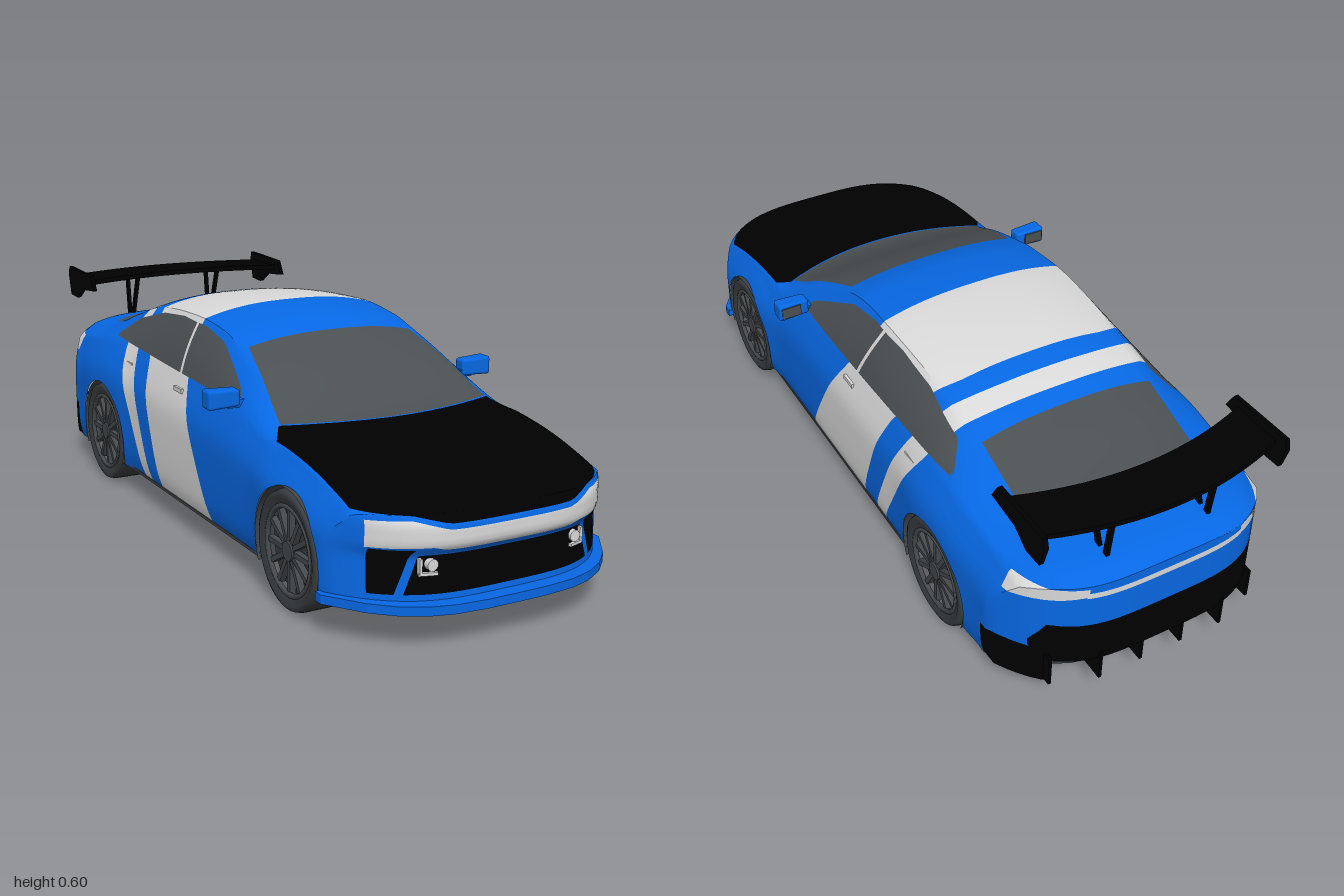
import * as THREE from 'three';
import { toCreasedNormals } from 'three/addons/utils/BufferGeometryUtils.js';
import { RoundedBoxGeometry } from 'three/addons/geometries/RoundedBoxGeometry.js';

const mat = (name, color, side = THREE.FrontSide) => {
  const m = new THREE.MeshStandardMaterial({ color, side });
  m.name = name;
  return m;
};
const WHEEL_Z = [0.615, -0.56], WHEEL_Y = 0.146;

// Smooth curve through [position, value] keys
const curve = (...k) => (s) => {
  let i = 0;
  while (i < k.length - 2 && s > k[i + 1][0]) i++;
  const slope = (n) => {
    const a = k[Math.max(n - 1, 0)], b = k[Math.min(n + 1, k.length - 1)];
    return (b[1] - a[1]) / (b[0] - a[0]);
  };
  const h = k[i + 1][0] - k[i][0], t = THREE.MathUtils.clamp((s - k[i][0]) / h, 0, 1);
  const t2 = t * t, t3 = t2 * t;
  return (2 * t3 - 3 * t2 + 1) * k[i][1] + (3 * t2 - 2 * t3) * k[i + 1][1]
    + h * ((t3 - 2 * t2 + t) * slope(i) + (t3 - t2) * slope(i + 1));
};
// Straight segments through [position, value] keys
const line = (...k) => (s) => {
  let i = 0;
  while (i < k.length - 2 && s > k[i + 1][0]) i++;
  const t = THREE.MathUtils.clamp((s - k[i][0]) / (k[i + 1][0] - k[i][0]), 0, 1);
  return k[i][1] + t * (k[i + 1][1] - k[i][1]);
};

// Body lines from tail to nose: centre height, roof edge, shoulder
const topY = curve([-1, 0.4], [-0.95, 0.425], [-0.77, 0.457], [-0.6, 0.515], [-0.4, 0.572], [-0.13, 0.598], [0.05, 0.583],
  [0.13, 0.56], [0.25, 0.51], [0.46, 0.408], [0.6, 0.395], [0.75, 0.375], [0.9, 0.34], [0.98, 0.31]);
const edgeY = curve([-1, 0.39], [-0.95, 0.41], [-0.77, 0.437], [-0.6, 0.487], [-0.4, 0.542], [-0.13, 0.566], [0.05, 0.552],
  [0.13, 0.53], [0.25, 0.488], [0.46, 0.395], [0.6, 0.385], [0.75, 0.364], [0.9, 0.33], [0.98, 0.306]);
const edgeX = curve([-1, 0.27], [-0.77, 0.25], [-0.4, 0.255], [-0.13, 0.262], [0.05, 0.26], [0.25, 0.272], [0.46, 0.302], [0.98, 0.31]);
const beltY = curve([-1, 0.37], [-0.8, 0.405], [-0.6, 0.425], [-0.3, 0.415], [0.2, 0.4], [0.45, 0.37], [0.75, 0.342], [0.98, 0.297]);
const beltX = curve([-1, 0.335], [-0.6, 0.345], [0.2, 0.346], [0.98, 0.346]);
const noseZ = line([0.08, -0.015], [0.21, -0.028], [0.235, 0], [0.285, 0], [0.31, -0.02]);

// Nose and tail bow backwards towards the corners; the nose also has an upright profile
const bow = (s, x, y) => {
  const u = Math.abs(x) / 0.385;
  if (s > 0.3) {
    const f = (s - 0.3) / 0.68;
    return s - 0.2 * f * u ** 3.5 + noseZ(y) * f ** 10 * Math.max(0, 1 - u ** 4);
  }
  return s < -0.45 ? s + 0.2 * (-s - 0.45) / 0.55 * u ** 4 : s;
};

// Half section from sill to centre line
function halfSection(s) {
  const zs = bow(s, 0.385, 0.2), b = beltY(s), h = beltX(s), r = edgeX(s), e = edgeY(s), t = topY(s);
  const w = 0.379 + WHEEL_Z.reduce((a, c) => a + 0.013 * Math.exp(-(((zs - c) / 0.17) ** 4)), 0);
  const y = (f) => 0.078 + (b - 0.078) * f;
  const pts = new THREE.SplineCurve([[w - 0.012, 0], [w - 0.002, 0.15], [w, 0.45], [w - 0.005, 0.75], [h, 1]]
    .map(([x, f]) => new THREE.Vector2(x, y(f)))).getPoints(20).map((p) => [p.x, p.y]);
  for (let i = 1; i <= 8; i++) {
    const f = i / 8;
    pts.push([h + (r - h) * f + 0.008 * Math.sin(Math.PI * f), b + (e - b) * f]);
  }
  for (let i = 1; i <= 12; i++) {
    const f = 1 - i / 12;
    pts.push([r * f, e + (t - e) * (1 - f ** 2.5)]);
  }
  return pts;
}

// Body shell as a list of triangles, each corner [x, y, z, nx, ny, nz]
function bodyTriangles() {
  const pos = [];
  const addGrid = (g) => {
    for (let a = 0; a < g.length - 1; a++) for (let b = 0; b < g[a].length - 1; b++) {
      const [p, q, r, s] = [g[a][b], g[a][b + 1], g[a + 1][b + 1], g[a + 1][b]];
      pos.push(...p, ...q, ...r, ...p, ...r, ...s);
    }
  };
  const rows = [];
  for (let i = 0; i <= 120; i++) {
    const s = -1 + 1.98 * i / 120, half = halfSection(s);
    const full = half.concat(half.slice(0, -1).reverse().map(([x, y]) => [-x, y]));
    rows.push(full.map(([x, y]) => [x, y, bow(s, x, y)]));
  }
  addGrid(rows);
  // Nose and tail faces
  for (const [s, dir] of [[0.98, 1], [-1, -1]]) {
    const half = halfSection(s), cols = [];
    for (let k = 0; k <= 40; k++) {
      const f = dir * (1 - k / 20);
      cols.push(half.map(([x, y]) => [x * f, y, bow(s, x * f, y)]));
    }
    addGrid(cols);
  }
  let g = new THREE.BufferGeometry();
  g.setAttribute('position', new THREE.Float32BufferAttribute(pos, 3));
  g = toCreasedNormals(g, 0.6);
  const P = g.attributes.position.array, N = g.attributes.normal.array, tris = [];
  const corner = (i) => [...P.slice(i * 3, i * 3 + 3), ...N.slice(i * 3, i * 3 + 3)];
  for (let i = 0; i < P.length / 3; i += 3) tris.push([corner(i), corner(i + 1), corner(i + 2)]);
  return tris;
}

// Cut triangles along f = 0
function split(tris, f) {
  const inside = [], outside = [];
  const fan = (p, out) => { for (let i = 1; i < p.length - 1; i++) out.push([p[0], p[i], p[i + 1]]); };
  for (const t of tris) {
    const d = t.map(f), a = [], b = [];
    for (let i = 0; i < 3; i++) {
      const j = (i + 1) % 3;
      (d[i] >= 0 ? a : b).push(t[i]);
      if ((d[i] >= 0) !== (d[j] >= 0)) {
        const k = d[i] / (d[i] - d[j]), m = t[i].map((v, n) => v + (t[j][n] - v) * k);
        a.push(m); b.push(m);
      }
    }
    fan(a, inside); fan(b, outside);
  }
  return [inside, outside];
}

export function createModel() {
  const car = new THREE.Group();
  car.name = 'sportsSedan';
  const blue = mat('bluePaint', 0x0768e4), white = mat('whitePaint', 0xdadada), black = mat('blackTrim', 0x000000);
  const glass = mat('darkGlass', 0x4b5053), tyre = mat('tyreRubber', 0x3a3e41), rim = mat('rimMetal', 0x464a4d);
  const under = mat('underbody', 0x404447, THREE.DoubleSide);
  const add = (name, geo, m, x = 0, y = 0, z = 0, parent = car) => {
    const mesh = new THREE.Mesh(geo, m);
    mesh.name = name;
    mesh.position.set(x, y, z);
    parent.add(mesh);
    return mesh;
  };

  // Body regions: each is where all its functions are positive
  let rest = bodyTriangles();
  const take = (...fs) => {
    let cur = rest;
    rest = [];
    for (const f of fs) {
      const [a, b] = split(cur, f);
      cur = a;
      for (const t of b) rest.push(t);
    }
    return cur;
  };
  const X = Math.abs;
  const above = (y0) => ([, y]) => y - y0, below = (y0) => ([, y]) => y0 - y;
  const ahead = (z0) => ([, , z]) => z - z0, behind = (z0) => ([, , z]) => z0 - z;
  const within = (x0) => ([x]) => x0 - X(x), beyond = (x0) => ([x]) => X(x) - x0;
  // Wheel arches and diffuser opening
  for (const c of WHEEL_Z) take(beyond(0.25), ([, y, z]) => 0.156 - Math.hypot(z - c, y - WHEEL_Y));
  take(behind(-0.85), below(0.15), within(0.29));

  const winTop = line([-0.56, 0.445], [-0.5, 0.495], [-0.34, 0.538], [-0.2, 0.553], [-0.05, 0.551], [0.07, 0.53], [0.24, 0.45], [0.29, 0.41]);
  const sideWin = [beyond(0.2), ahead(-0.555), behind(0.285), ([, y, z]) => y - 0.423 + z * 0.03, ([, y, z]) => winTop(z) - y];
  const pillar = ([, y, z]) => z + 0.065 + (y - 0.4) * 0.24;
  const lampTop = line([0, 0.275], [0.165, 0.275], [0.24, 0.296], [0.33, 0.293]);
  const lampLow = line([0, 0.226], [0.165, 0.226], [0.2, 0.235], [0.33, 0.231]);
  const hoodLow = line([0, 0.288], [0.165, 0.288], [0.24, 0.306], [0.34, 0.309]);
  const stripe = [[0.18, -0.02, -0.08], [-0.15, -0.28, -0.38], [-0.22, -0.37, -0.44], [-0.27, -0.45, -0.505]]
    .map(([a, b, c]) => line([0.08, a], [0.42, b], [0.56, c]));
  const band = (i) => take(([, y, z]) => stripe[i](y) - z, ([, y, z]) => z - stripe[i + 1](y));
  const grilleX = (y) => 0.222 + (0.212 - y) * 0.35;
  const parts = [
    ['frontSideWindows', glass, take(...sideWin, (v) => pillar(v) - 0.006)],
    ['rearSideWindows', glass, take(...sideWin, (v) => -pillar(v) - 0.006)],
    ['windshield', glass, take(ahead(0.15), ([x, , z]) => 0.5 - 0.75 * x * x - z, ([x, , z]) => 0.245 + (z - 0.15) * 0.2 - X(x), above(0.385))],
    ['rearWindow', glass, take(behind(-0.55), ([x, , z]) => z + 0.847 - 18 * x ** 4, within(0.241), above(0.41))],
    ['hood', black, take(([x, , z]) => z - 0.505 + 0.75 * x * x, ([x, , z]) => z - 0.43 - (X(x) - 0.305) * 1.6, within(0.337), ([x, y]) => y - hoodLow(X(x)))],
    ['headlightBar', white, take(ahead(0.78), within(0.325), ([x, y]) => lampTop(X(x)) - y, ([x, y]) => y - lampLow(X(x)))],
    ['grille', black, take(ahead(0.8), above(0.122), below(0.212), ([x, y]) => grilleX(y) - X(x))],
    ['cornerVents', black, take(ahead(0.8), above(0.122), below(0.228), within(0.318), ([x, y]) => X(x) - grilleX(y) - 0.018)],
    ['tailLights', white, take(behind(-0.84), beyond(0.21), below(0.386), ([x, y]) => y - 0.362 + (X(x) - 0.21) * 0.14)],
    ['tailLightBar', white, take(behind(-0.84), within(0.215), above(0.357), below(0.373))],
    ['rearBumperPanel', black, take(behind(-0.88), above(0.14), below(0.27), ([x, y]) => 0.325 - X(y - 0.2) * 0.5 - X(x))],
    ['rearBumperCorners', black, take(behind(-0.79), below(0.185))],
    ['doorSeams', black, take(beyond(0.3), ([, , z]) => 0.0025 - X(z + 0.065), above(0.22), below(0.38))],
    ['wideStripe', white, band(0)],
    ['narrowStripe', white, band(2)],
    ['bodyShell', blue, rest],
  ];
  for (const [name, m, tris] of parts) {
    const g = new THREE.BufferGeometry(), v = tris.flat();
    g.setAttribute('position', new THREE.Float32BufferAttribute(v.flatMap((c) => c.slice(0, 3)), 3));
    g.setAttribute('normal', new THREE.Float32BufferAttribute(v.flatMap((c) => c.slice(3)), 3));
    add(name, g, m);
  }

  // Flat plates in plan, given as half outlines of [x, z]
  const planPlate = (half, depth) => {
    const pts = half.concat(half.slice().reverse().map(([x, z]) => [-x, z]));
    const shape = new THREE.Shape(pts.map(([x, z]) => new THREE.Vector2(x, -z)));
    return new THREE.ExtrudeGeometry(shape, { depth, bevelEnabled: false }).rotateX(-Math.PI / 2);
  };
  const noseArc = (z, w) => [0.001, 0.08, 0.16, 0.22, 0.28, 0.33, w].map((x) => [x, z - 0.2 * (x / w) ** 3.5]);
  add('frontSplitter', planPlate([...noseArc(1, 0.395), [0.395, 0.775], [0.001, 0.775]], 0.022), blue, 0, 0.086);
  add('frontFloor', planPlate([...noseArc(0.965, 0.37), [0.37, 0.757], [0.001, 0.757]], 0.008), under, 0, 0.076);
  add('middleFloor', new THREE.BoxGeometry(0.742, 0.008, 0.893), under, 0, 0.08, 0.0265);
  add('rearFloor', planPlate([[0.001, -0.702], [0.37, -0.702], [0.37, -0.79], [0.34, -0.87], [0.29, -0.93], [0.29, -0.74], [0.001, -0.74]], 0.008), under, 0, 0.076);
  add('frontSkidPlate', new THREE.BoxGeometry(0.17, 0.015, 0.06), black, 0, 0.08, 0.94);

  // Diffuser ramp rising to the tail, with fins
  const tailArc = [0.29, 0.24, 0.18, 0.1, 0.001].map((x) => [x, bow(-1, x) + 0.002]);
  const ramp = planPlate([[0.001, -0.74], [0.29, -0.74], ...tailArc], 0.006), rp = ramp.attributes.position;
  for (let i = 0; i < rp.count; i++) rp.setY(i, rp.getY(i) + (-0.74 - rp.getZ(i)) * 0.29);
  ramp.computeVertexNormals();
  add('diffuserRamp', ramp, under, 0, 0.077);
  for (const x of [-0.288, -0.174, -0.058, 0.058, 0.174, 0.288]) {
    const end = Math.max(-0.998, bow(-1, x) - 0.02), len = -0.78 - end;
    add('diffuserFin', new THREE.BoxGeometry(0.008, 0.085, len), black, x, 0.128, end + len / 2);
  }

  // Axle bays across the car, and wheels
  const spin = Math.PI / 2;
  const tyreProfile = [[0.108, -0.05], [0.132, -0.06], [0.143, -0.055], [0.147, -0.042], [0.147, 0.042], [0.143, 0.055], [0.132, 0.06], [0.108, 0.05]]
    .map(([r, y]) => new THREE.Vector2(r, y));
  for (const z of WHEEL_Z) {
    add('axleBay', new THREE.CylinderGeometry(0.157, 0.157, 0.77, 40, 1, true, -0.44, Math.PI + 0.88).rotateZ(spin), under, 0, WHEEL_Y, z);
    for (const side of [1, -1]) {
      const wheel = new THREE.Group();
      wheel.name = z > 0 ? 'frontWheel' : 'rearWheel';
      wheel.position.set(side * 0.327, 0.147, z);
      wheel.rotation.z = -side * spin;
      car.add(wheel);
      add('tyre', new THREE.LatheGeometry(tyreProfile, 40), tyre, 0, 0, 0, wheel);
      add('rimBarrel', new THREE.CylinderGeometry(0.11, 0.11, 0.08, 32), tyre, 0, -0.01, 0, wheel);
      for (const y of [0.049, -0.05]) add('rimRing', new THREE.TorusGeometry(0.108, 0.007, 8, 40).rotateX(spin), rim, 0, y, 0, wheel);
      add('hub', new THREE.CylinderGeometry(0.024, 0.028, 0.025, 16), rim, 0, 0.042, 0, wheel);
      for (let i = 0; i < 12; i++) {
        add('spoke', new THREE.BoxGeometry(0.092, 0.016, 0.013).translate(0.06, 0, 0), rim, 0, 0.042, 0, wheel).rotation.y = i * Math.PI / 6;
      }
    }
  }

  // Mirrors, door handles, fog lamps
  for (const side of [1, -1]) {
    const g = new RoundedBoxGeometry(0.088, 0.05, 0.045, 3, 0.008), p = g.attributes.position;
    for (let i = 0; i < p.count; i++) {
      const k = 1 - 0.15 * Math.max(0, -side * p.getX(i) / 0.044);
      p.setXYZ(i, p.getX(i), p.getY(i) * k, p.getZ(i) * k);
    }
    g.computeVertexNormals();
    add('mirrorHousing', g, blue, side * 0.379, 0.436, 0.265);
    add('mirrorArm', new THREE.BoxGeometry(0.05, 0.02, 0.025), blue, side * 0.342, 0.42, 0.267);
    add('mirrorGlass', new THREE.BoxGeometry(0.055, 0.032, 0.004), glass, side * 0.388, 0.436, 0.242);
    for (const z of [-0.05, -0.4]) add('doorHandle', new THREE.BoxGeometry(0.012, 0.012, 0.05), white, side * 0.355, 0.385, z);
    add('fogLamp', new THREE.CylinderGeometry(0.014, 0.014, 0.016, 16).rotateX(spin), white, side * 0.196, 0.191, 0.94);
    add('fogLampTrim', new THREE.BoxGeometry(0.045, 0.007, 0.016), white, side * 0.203, 0.17, 0.936).rotation.y = side * 0.3;
    add('fogLampTrimUpright', new THREE.BoxGeometry(0.007, 0.036, 0.016), white, side * 0.221, 0.188, 0.931);
  }

  // Rear wing: bowed blade, end plates and struts
  const blade = new THREE.BoxGeometry(0.65, 0.014, 0.14, 24, 1, 6), bp = blade.attributes.position;
  for (let i = 0; i < bp.count; i++) {
    const x = bp.getX(i), z = bp.getZ(i);
    bp.setXYZ(i, x, bp.getY(i) + z * z * 0.6, z - 0.06 * (1 - (x / 0.325) ** 2));
  }
  blade.computeVertexNormals();
  add('wingBlade', blade, black, 0, 0.556, -0.862);
  const plate = new THREE.Shape([[0.75, 0.54], [0.775, 0.583], [0.965, 0.588], [0.972, 0.56], [0.955, 0.5], [0.9, 0.497], [0.85, 0.53]]
    .map(([z, y]) => new THREE.Vector2(z, y)));
  const plateGeo = new THREE.ExtrudeGeometry(plate, { depth: 0.012, bevelEnabled: false }).rotateY(spin);
  for (const side of [1, -1]) {
    add('wingEndPlate', plateGeo, black, side * 0.326 - 0.006);
    for (const [z0, z1] of [[-0.86, -0.91], [-0.95, -0.935]]) {
      const a = new THREE.Vector3(side * 0.14, 0.553, z0), b = new THREE.Vector3(side * 0.14, 0.415, z1), d = a.clone().sub(b);
      const strut = add('wingStrut', new THREE.BoxGeometry(0.01, d.length(), 0.014), black, ...a.add(b).multiplyScalar(0.5));
      strut.quaternion.setFromUnitVectors(new THREE.Vector3(0, 1, 0), d.normalize());
    }
  }
  return car;
}
